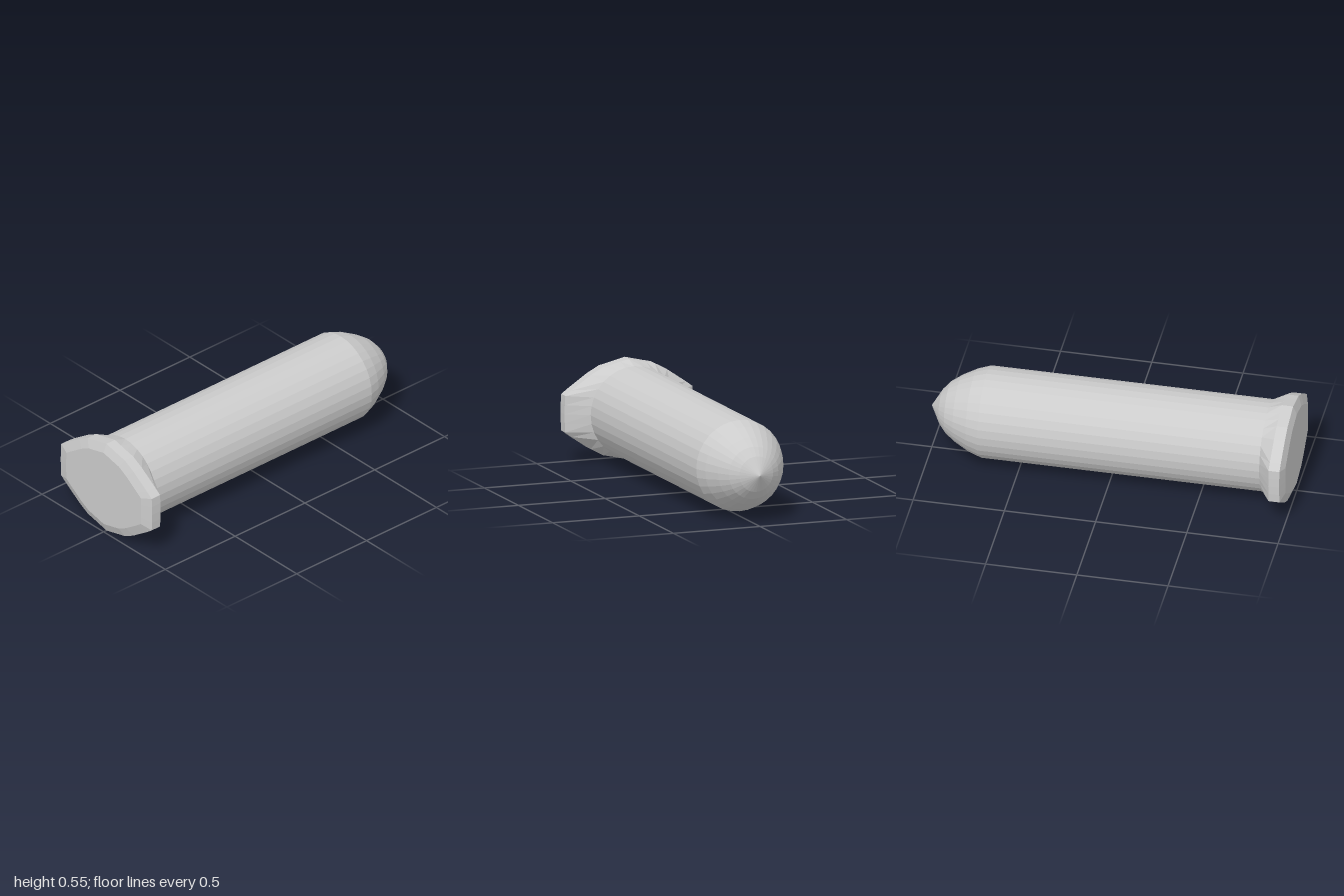
import * as THREE from 'three';

const SEG = 32, CY = 0.277, R = 0.25;
const material = new THREE.MeshStandardMaterial({ color: 0xcccccc, flatShading: true });

// One quarter of the flange outline as [height, depth], from the top to the side
const QUARTER = [
  [0.276, 0], [0.264, 0.05], [0.252, 0.1], [0.241, 0.15], [0.203, 0.22],
  [0.128, 0.33], [0.1, 0.367], [0.05, 0.37], [0, 0.371],
];

// Mirror the quarter into the full outline, going round from +y to +z
function flangeOutline(j) {
  const k = j % SEG;
  const m = k % 16;
  const [y, z] = QUARTER[m <= 8 ? m : 16 - m];
  const half = k >= 16 ? -1 : 1;
  return [y * (m > 8 ? -1 : 1) * half, z * half];
}

function circle(j) {
  const a = ((j % SEG) / SEG) * Math.PI * 2;
  return [R * Math.cos(a), R * Math.sin(a)];
}

// Skin a list of { x, scale, outline } rings
function loft(rings) {
  const positions = [], index = [];
  for (const { x, scale, outline } of rings) {
    for (let j = 0; j < SEG; j++) {
      const [y, z] = outline(j);
      positions.push(x, y * scale, z * scale);
    }
  }
  for (let i = 0; i < rings.length - 1; i++) {
    for (let j = 0; j < SEG; j++) {
      const n = (j + 1) % SEG;
      const a = i * SEG + j, b = i * SEG + n, c = a + SEG, d = b + SEG;
      index.push(a, b, c, b, d, c);
    }
  }
  const g = new THREE.BufferGeometry();
  g.setAttribute('position', new THREE.Float32BufferAttribute(positions, 3));
  g.setIndex(index);
  g.computeVertexNormals();
  return g;
}

export function createModel() {
  const group = new THREE.Group();

  // Round shaft with a pointed nose, turned to lie along x
  const profile = [
    [R, -0.845], [R, 0.7], [0.226, 0.77], [0.183, 0.85], [0.143, 0.905], [0.097, 0.945], [0, 1],
  ].map(([r, x]) => new THREE.Vector2(r, x));
  const shaft = new THREE.Mesh(new THREE.LatheGeometry(profile, SEG), material);
  shaft.name = 'shaft';
  shaft.rotation.z = -Math.PI / 2;
  shaft.position.y = CY;
  group.add(shaft);

  // Elongated end flange, blending into the shaft
  const flange = new THREE.Mesh(loft([
    { x: -1, scale: 0, outline: flangeOutline },
    { x: -1, scale: 0.82, outline: flangeOutline },
    { x: -0.98, scale: 1, outline: flangeOutline },
    { x: -0.92, scale: 1, outline: flangeOutline },
    { x: -0.845, scale: 1, outline: circle },
  ]), material);
  flange.name = 'flange';
  flange.position.y = CY;
  group.add(flange);

  return group;
}
